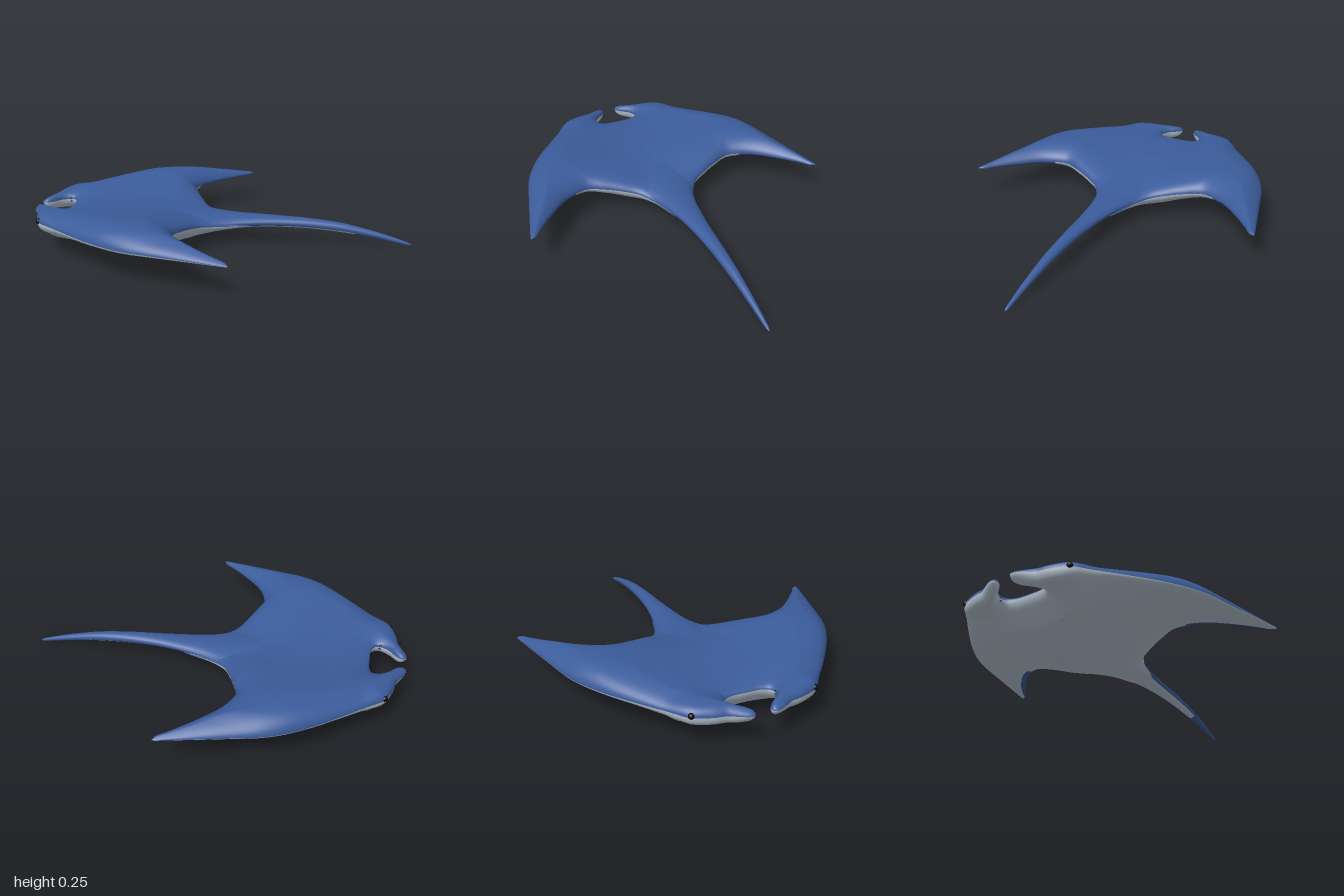
import * as THREE from 'three';
import { mergeVertices } from 'three/addons/utils/BufferGeometryUtils.js';

// Smooth monotone lookup through [key, value] pairs
function table(p) {
  const n = p.length;
  const slope = (i) => (p[i + 1][1] - p[i][1]) / (p[i + 1][0] - p[i][0]);
  const m = p.map((_, i) => {
    if (i === 0) return slope(0);
    if (i === n - 1) return slope(n - 2);
    const a = slope(i - 1), b = slope(i);
    return a * b <= 0 ? 0 : (2 * a * b) / (a + b);
  });
  return (x) => {
    if (x <= p[0][0]) return p[0][1];
    if (x >= p[n - 1][0]) return p[n - 1][1];
    let i = 0;
    while (x > p[i + 1][0]) i++;
    const h = p[i + 1][0] - p[i][0], t = (x - p[i][0]) / h, t2 = t * t, t3 = t2 * t;
    return (2 * t3 - 3 * t2 + 1) * p[i][1] + (t3 - 2 * t2 + t) * h * m[i]
      + (3 * t2 - 2 * t3) * p[i + 1][1] + (t3 - t2) * h * m[i + 1];
  };
}

// Plan outline: x as a function of |z|
const LOBE = 0.04, SEAM = 0.125, TIP = 0.815;
const lead = table([[0.04, -0.985], [0.052, -1], [0.07, -0.998], [0.1, -0.985], [0.13, -0.968], [0.16, -0.953],
  [0.2, -0.947], [0.25, -0.932], [0.305, -0.908], [0.38, -0.82], [0.465, -0.72], [0.59, -0.56], [0.68, -0.4],
  [0.74, -0.19], [0.785, -0.02], [0.815, 0.095]]);
const trail = table([[0, 0.2], [0.05, 0.17], [0.075, 0.12], [0.11, 0], [0.17, -0.09], [0.24, -0.13], [0.33, -0.17],
  [0.42, -0.2], [0.48, -0.185], [0.55, -0.15], [0.66, -0.05], [0.75, 0.05], [0.79, 0.1], [0.815, 0.108]]);
const mouth = table([[0, -0.815], [0.05, -0.815], [0.1, -0.825], [0.118, -0.84], [0.125, -0.86]]);
const lobeInner = table([[0.04, -0.97], [0.05, -0.955], [0.07, -0.935], [0.1, -0.91], [0.118, -0.88], [0.125, -0.86]]);

// Height limits along and across the body, and width of the rounded rim
const topX = table([[-1, 0.18], [-0.9, 0.207], [-0.8, 0.222], [-0.6, 0.242], [-0.4, 0.252], [-0.2, 0.238], [0, 0.2], [0.11, 0.178]]);
const topZ = table([[0, 0.198], [0.1, 0.202], [0.3, 0.226], [0.5, 0.252], [0.6, 0.246], [0.7, 0.215], [0.815, 0.172]]);
const lowX = table([[-1, 0.145], [-0.95, 0.118], [-0.85, 0.1], [-0.8, 0.07], [-0.7, 0.03], [-0.6, 0.025], [-0.4, 0.037],
  [-0.2, 0.037], [0, 0.06], [0.1, 0.08]]);
const lowZ = table([[0, 0.028], [0.1, 0.034], [0.2, 0.046], [0.3, 0.075], [0.4, 0.1], [0.5, 0.122], [0.6, 0.135], [0.7, 0.145], [0.815, 0.16]]);
const rimX = table([[-1, 0.03], [-0.93, 0.037], [-0.87, 0.07], [-0.78, 0.18]]);
const rimZ = table([[0, 0.2], [0.4, 0.16], [0.6, 0.11], [0.7, 0.07], [0.815, 0.02]]);

// Half outline polyline, used to measure distance from the rim
const outline = [];
function trace(f, z0, z1, n) {
  for (let i = 0; i <= n; i++) {
    const z = z0 + (z1 - z0) * i / n;
    outline.push([f(z), z]);
  }
}
trace(mouth, 0, SEAM, 24);
trace(lobeInner, SEAM, LOBE, 24);
trace(lead, LOBE, TIP, 130);
trace(trail, TIP, 0, 130);

function rimDistance(x, z) {
  let best = 9;
  for (let i = 0; i < outline.length - 1; i++) {
    const [ax, az] = outline[i], dx = outline[i + 1][0] - ax, dz = outline[i + 1][1] - az;
    const t = Math.min(1, Math.max(0, ((x - ax) * dx + (z - az) * dz) / (dx * dx + dz * dz + 1e-12)));
    best = Math.min(best, Math.hypot(x - ax - t * dx, z - az - t * dz));
  }
  return best;
}

// Height of the back (side = 1) or belly (side = -1)
function height(x, zs, side, d) {
  const z = Math.abs(zs);
  const rear = THREE.MathUtils.smoothstep(x, -0.5, 0);
  const edge = 0.165 - 0.065 * Math.exp(-((z / 0.3) ** 2)) * rear;
  const sag = 0.05 * Math.exp(-((z / 0.25) ** 2)) * rear;
  const goal = side > 0 ? Math.min(topX(x), topZ(z)) - sag : Math.max(lowX(x), lowZ(z));
  const t = Math.min(1, d / Math.min(rimX(x), rimZ(z)));
  return edge + (goal - edge) * Math.sqrt(1 - (1 - t) ** 2);
}

// Grid surface with two material groups: blue first, pale second
function grid(nu, nv, point, isPale) {
  const pos = [], sets = [[], []];
  for (let i = 0; i <= nu; i++) for (let j = 0; j <= nv; j++) pos.push(...point(i / nu, j / nv));
  for (let i = 0; i < nu; i++) for (let j = 0; j < nv; j++) {
    const a = i * (nv + 1) + j, b = a + nv + 1;
    sets[isPale((i + 0.5) / nu, (j + 0.5) / nv) ? 1 : 0].push(a, b, a + 1, b, b + 1, a + 1);
  }
  let g = new THREE.BufferGeometry();
  g.setAttribute('position', new THREE.Float32BufferAttribute(pos, 3));
  g.setIndex([...sets[0], ...sets[1]]);
  g = mergeVertices(g, 1e-5);
  g.clearGroups();
  g.addGroup(0, sets[0].length, 0);
  g.addGroup(sets[0].length, sets[1].length, 1);
  g.computeVertexNormals();
  return g;
}

const ease = (t) => 0.5 - 0.5 * Math.cos(Math.PI * t);

// One skin patch between two outline curves over a range of z
function skin(z0, z1, rows, cols, front, back, side) {
  const zAt = (u) => z0 + (z1 - z0) * ease(side > 0 ? u : 1 - u);
  const g = grid(rows, cols, (u, v) => {
    const z = zAt(u), a = Math.abs(z);
    const x = THREE.MathUtils.lerp(front(a), back(a), ease(v));
    const d = v === 0 || v === 1 ? 0 : rimDistance(x, a);
    return [x, height(x, z, side, d), z];
  }, (u, v) => side < 0 && !(Math.abs(zAt(u)) > 0.48 && v > 0.8));
  // Slopes taken from the height rule keep neighbouring patches seamless
  const p = g.attributes.position, n = g.attributes.normal, e = 0.004;
  const h = (x, z) => height(x, z, side, rimDistance(x, Math.abs(z)));
  for (let i = 0; i < p.count; i++) {
    const x = p.getX(i), z = p.getZ(i);
    if (rimDistance(x, Math.abs(z)) < 0.015) continue;
    const v = new THREE.Vector3(-(h(x + e, z) - h(x - e, z)) / (2 * e), 1, -(h(x, z + e) - h(x, z - e)) / (2 * e));
    v.normalize().multiplyScalar(side);
    n.setXYZ(i, v.x, v.y, v.z);
  }
  return g;
}

export function createModel() {
  const blue = new THREE.MeshStandardMaterial({ color: 0x3b5c9b });
  blue.name = 'ocean blue';
  const pale = new THREE.MeshStandardMaterial({ color: 0xb6c3d0 });
  pale.name = 'pale grey belly';
  const black = new THREE.MeshStandardMaterial({ color: 0x0a0a0c });
  black.name = 'eye black';

  const model = new THREE.Group();
  model.name = 'ray';
  const add = (name, geometry, material) => {
    const mesh = new THREE.Mesh(geometry, material);
    mesh.name = name;
    model.add(mesh);
    return mesh;
  };

  // Back and belly skins of the trunk, wings and head lobes
  for (const [side, label] of [[1, 'Back'], [-1, 'Belly']]) {
    add('trunk' + label, skin(-SEAM, SEAM, 28, 48, mouth, trail, side), [blue, pale]);
    for (const [s, hand] of [[1, 'left'], [-1, 'right']]) {
      const range = (a, b) => (s > 0 ? [a, b] : [-b, -a]);
      add(hand + 'Wing' + label, skin(...range(SEAM, TIP), 60, 48, lead, trail, side), [blue, pale]);
      add(hand + 'HeadLobe' + label, skin(...range(LOBE, SEAM), 16, 16, lead, lobeInner, side), [blue, pale]);
    }
  }

  // Tail: tapering elliptical loft, pale underneath near the base
  const tailY = table([[-0.25, 0.12], [0, 0.113], [0.2, 0.118], [0.4, 0.113], [0.6, 0.095], [0.8, 0.058], [1, 0.006]]);
  const tailH = table([[-0.25, 0.06], [0, 0.043], [0.2, 0.03], [0.4, 0.027], [0.6, 0.025], [0.8, 0.018], [0.98, 0.008], [1, 0]]);
  const tailW = table([[-0.25, 0.18], [-0.1, 0.155], [0, 0.108], [0.13, 0.073], [0.35, 0.043], [0.67, 0.025], [0.9, 0.013], [0.985, 0.007], [1, 0]]);
  const tailX = (u) => -0.25 + 1.25 * Math.sin(u * Math.PI / 2);
  add('tail', grid(60, 24, (u, v) => {
    const x = tailX(u), a = (v % 1) * Math.PI * 2;
    return [x, tailY(x) + tailH(x) * Math.sin(a), tailW(x) * Math.cos(a)];
  }, (u, v) => tailX(u) < 0.7 && Math.sin(v * Math.PI * 2) < -0.5), [blue, pale]);

  // Eyes
  for (const [s, hand] of [[1, 'left'], [-1, 'right']]) {
    add(hand + 'Eye', new THREE.SphereGeometry(0.015, 16, 12), black).position.set(-0.903, 0.172, s * 0.303);
  }
  return model;
}
